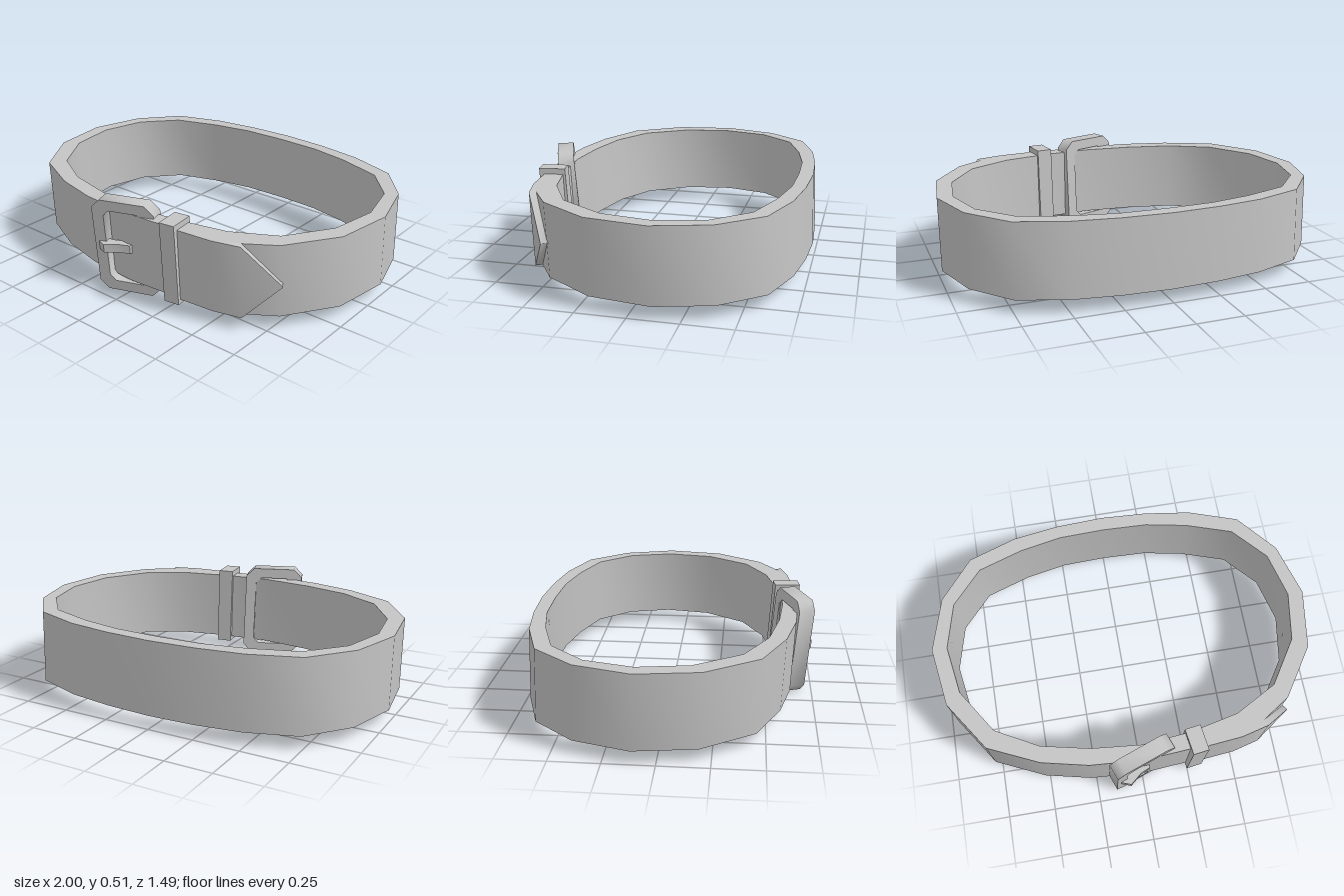
import * as THREE from 'three';
import { toCreasedNormals } from 'three/addons/utils/BufferGeometryUtils.js';

const MID = 0.26; // height about which the parts lean
const BOTTOM = 0.07, TOP = 0.45;

const toShape = (pts) => new THREE.Shape(pts.map(([x, z]) => new THREE.Vector2(x, -z)));

// Prism standing on y = bottom, from an outline in x, z (a hole runs the other way round)
function prism(outline, bottom, top, hole) {
  const shape = toShape(outline);
  if (hole) shape.holes.push(toShape(hole));
  const geo = new THREE.ExtrudeGeometry(shape, { depth: top - bottom, bevelEnabled: false });
  return geo.rotateX(-Math.PI / 2).translate(0, bottom, 0);
}

// Shear so that the top leans slightly forward, then smooth the gentle corners
function lean(geo, amount = 0.04) {
  const p = geo.attributes.position;
  for (let i = 0; i < p.count; i++) p.setZ(i, p.getZ(i) + amount * (p.getY(i) - MID));
  return toCreasedNormals(geo, 0.9);
}

// Rectangle with cut corners
function cutRect(w, h, c) {
  const pts = [[w - c, -h], [w, c - h], [w, h - c], [w - c, h], [c - w, h], [-w, h - c], [-w, c - h], [c - w, -h]];
  return pts.map(([x, y]) => new THREE.Vector2(x, y));
}

export function createModel() {
  const group = new THREE.Group();
  const grey = new THREE.MeshStandardMaterial({ color: 0xc4c4c4 });
  grey.name = 'grey';
  const add = (name, geo) => {
    const mesh = new THREE.Mesh(geo, grey);
    mesh.name = name;
    group.add(mesh);
  };

  // Band: closed loop, from the back middle round the left side to the front
  const outer = [
    [0, -0.735], [0.25, -0.722], [0.49, -0.687], [0.745, -0.6], [0.92, -0.39], [1, -0.11],
    [0.955, 0.2], [0.785, 0.455], [0.64, 0.55], [0.53, 0.6], [0.27, 0.635], [0, 0.655],
    [-0.28, 0.635], [-0.52, 0.58], [-0.78, 0.46], [-0.955, 0.2], [-1, -0.11],
    [-0.92, -0.39], [-0.745, -0.6], [-0.49, -0.687], [-0.25, -0.722],
  ];
  const half = [
    [0, -0.66], [0.24, -0.652], [0.46, -0.61], [0.7, -0.53], [0.86, -0.35], [0.92, -0.11],
    [0.88, 0.145], [0.73, 0.375], [0.51, 0.495], [0.26, 0.55], [0, 0.575],
  ];
  const inner = [...half, ...half.slice(1, -1).reverse().map(([x, z]) => [-x, z])].reverse();
  add('band', lean(prism(outer, BOTTOM, TOP, inner)));

  // Pointed strap end lying over the band: outer x z, inner x z, bottom, top
  const stations = [
    [0.2, 0.635, 0.2, 0.6, BOTTOM, TOP],
    [0.3, 0.64, 0.3, 0.6, BOTTOM, TOP],
    [0.51, 0.62, 0.5, 0.585, BOTTOM, TOP],
    [0.655, 0.583, 0.635, 0.55, BOTTOM, TOP],
    [0.815, 0.475, 0.793, 0.445, 0.249, 0.251],
  ];
  const pos = [], index = [];
  for (const [ox, oz, ix, iz, b, t] of stations) {
    pos.push(ox, b, oz, ox, t, oz, ix, t, iz, ix, b, iz);
  }
  for (let s = 0; s < stations.length - 1; s++) {
    for (let k = 0; k < 4; k++) {
      const a = s * 4 + k, b = s * 4 + (k + 1) % 4;
      index.push(a, a + 4, b, b, a + 4, b + 4);
    }
  }
  const e = (stations.length - 1) * 4;
  index.push(0, 1, 2, 0, 2, 3, e, e + 2, e + 1, e, e + 3, e + 2);
  const strap = new THREE.BufferGeometry();
  strap.setAttribute('position', new THREE.Float32BufferAttribute(pos, 3));
  strap.setIndex(index);
  add('strapEnd', lean(strap.toNonIndexed()));

  // Keeper loop
  const keeper = new THREE.BoxGeometry(0.083, 0.434, 0.137).toNonIndexed();
  keeper.rotateY(0.14).translate(0.276, 0.263, 0.597);
  add('keeper', lean(keeper, 0.06));

  // Buckle frame, turned so its right bar sits behind the band
  const frame = new THREE.Shape(cutRect(0.165, 0.255, 0.045));
  frame.holes.push(new THREE.Path(cutRect(0.105, 0.2, 0.03)));
  const buckle = new THREE.ExtrudeGeometry(frame, { depth: 0.085, bevelEnabled: false });
  buckle.translate(0, 0, -0.0425).rotateY(0.35).translate(-0.01, 0.256, 0.63);
  add('buckle', lean(buckle, 0.08));

  // Prong bent over the left bar and resting on the band
  const prong = [
    [0.03, 0.64], [0.03, 0.668], [-0.02, 0.69], [-0.08, 0.74],
    [-0.128, 0.722], [-0.132, 0.675], [-0.08, 0.67], [-0.03, 0.645],
  ];
  add('prong', lean(prism(prong, 0.235, 0.28)));

  return group;
}
